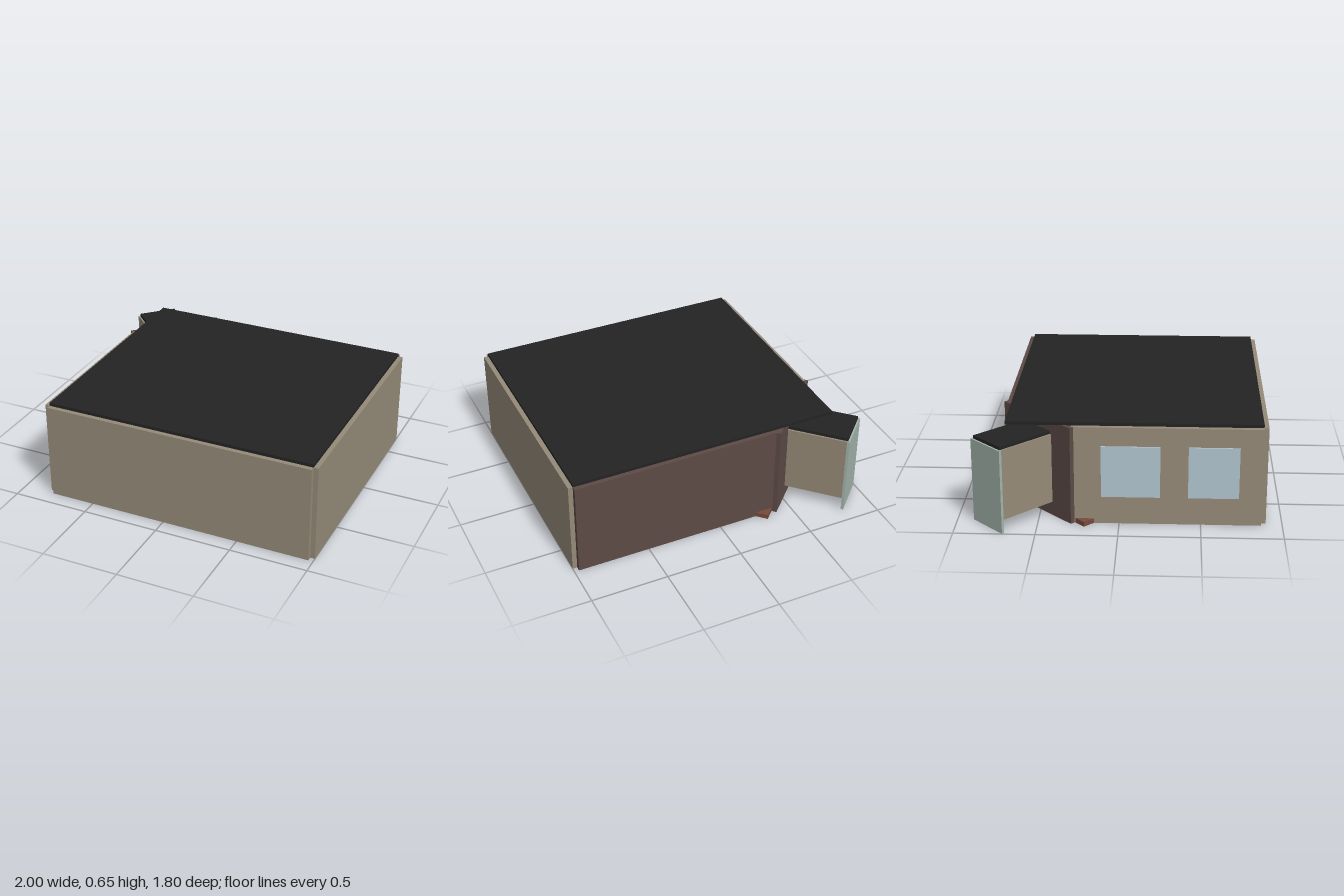
import * as THREE from 'three';

const mat = (name, color, extra = {}) => {
  const m = new THREE.MeshStandardMaterial({ color, ...extra });
  m.name = name;
  return m;
};

export function createModel() {
  const model = new THREE.Group();
  model.name = 'cornerEntranceBuilding';
  const tan = mat('tan wall', 0x958a78);
  const brown = mat('brown wall', 0x5c4a45);
  const black = mat('black roof', 0x232323);
  const red = mat('red step', 0x784a3c);
  const pale = mat('pale door', 0xa2b3ab);
  const glass = mat('window glass', 0xb2c6d0);
  const grey = mat('floor grey', 0x857b70);

  // Box given by its minimum and maximum corners
  const box = (parent, name, m, [x0, y0, z0], [x1, y1, z1]) => {
    const mesh = new THREE.Mesh(new THREE.BoxGeometry(x1 - x0, y1 - y0, z1 - z0), m);
    mesh.position.set((x0 + x1) / 2, (y0 + y1) / 2, (z0 + z1) / 2);
    mesh.name = name;
    parent.add(mesh);
    return mesh;
  };
  // Flat slab from an outline in x and z
  const slab = (parent, name, m, outline, y0, y1) => {
    const shape = new THREE.Shape(outline.map(([x, z]) => new THREE.Vector2(x, -z)));
    const geo = new THREE.ExtrudeGeometry(shape, { depth: y1 - y0, bevelEnabled: false });
    geo.rotateX(-Math.PI / 2);
    const mesh = new THREE.Mesh(geo, m);
    mesh.position.y = y0;
    mesh.name = name;
    parent.add(mesh);
  };

  // Main hall: four wall plates, roof and a floor with one cut corner
  const h = 0.63;
  box(model, 'frontWall', tan, [-0.79, 0, 0.87], [0.97, h, 0.9]);
  box(model, 'leftWall', tan, [0.97, 0, -0.69], [1, h, 0.87]);
  box(model, 'rightWall', tan, [-0.82, 0, -0.29], [-0.79, h, 0.87]);
  box(model, 'backWall', brown, [-0.39, 0, -0.72], [0.97, h, -0.69]);
  box(model, 'roof', black, [-0.79, h, -0.69], [0.97, 0.65, 0.87]);
  slab(model, 'floor', grey,
    [[-0.79, 0.87], [0.97, 0.87], [0.97, -0.69], [-0.42, -0.69], [-0.79, -0.32]], 0.003, 0.02);

  // Windows on the right wall
  for (const [z0, z1] of [[-0.11, 0.25], [0.42, 0.73]]) {
    box(model, 'window', glass, [-0.829, 0.18, z0], [-0.82, 0.51, z1]);
  }

  // Diagonal corner entrance, with local +z pointing outwards
  const entrance = new THREE.Group();
  entrance.name = 'cornerEntrance';
  entrance.rotation.y = -Math.PI * 3 / 4;
  entrance.position.set(-0.05, 0, 0.05);
  model.add(entrance);

  box(entrance, 'diagonalWall', brown, [-0.315, 0, 0.765], [0.315, h, 0.803]);
  box(entrance, 'porchFloor', brown, [-0.127, 0.09, 0.8], [0.127, 0.105, 1.185]);
  for (const s of [-1, 1]) {
    const side = box(entrance, 'porchSide', tan, [-0.007, 0.09, 0.8], [0.007, 0.54, 1.185]);
    side.position.x = s * 0.134;
  }
  box(entrance, 'porchRoof', black, [-0.129, 0.535, 0.8], [0.129, 0.56, 1.19]);
  box(entrance, 'porchDoor', pale, [-0.141, 0, 1.185], [0.141, 0.54, 1.202]);

  // Low step with clipped inner corners
  slab(entrance, 'step', red,
    [[-0.4, 0.77], [0.4, 0.77], [0.4, 0.52], [0.22, 0.38], [-0.22, 0.38], [-0.4, 0.52]], 0, 0.03);
  return model;
}
